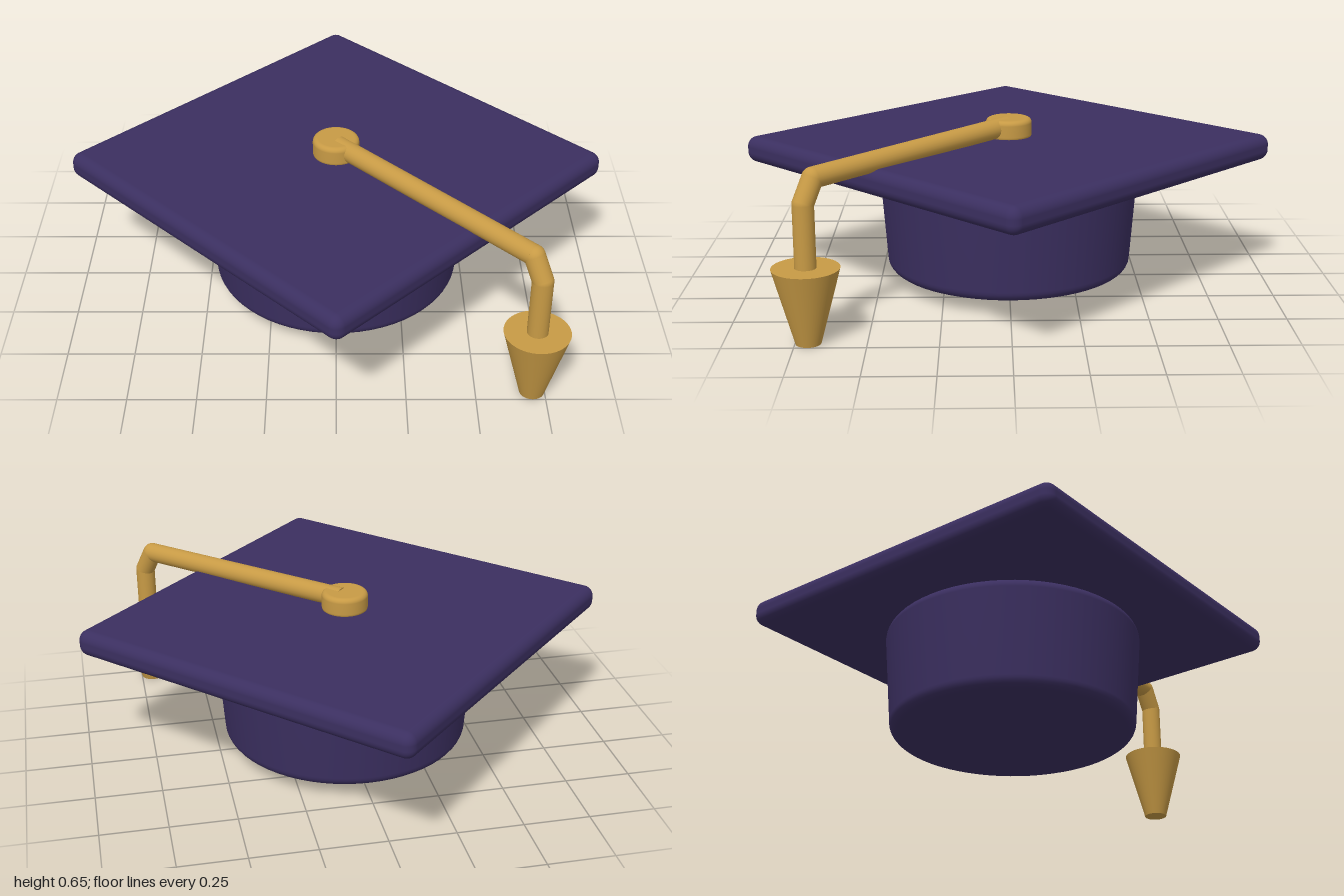
import * as THREE from 'three';
import { RoundedBoxGeometry } from 'three/addons/geometries/RoundedBoxGeometry.js';

const cloth = new THREE.MeshStandardMaterial({ color: 0x3b2f60 });
const gold = new THREE.MeshStandardMaterial({ color: 0xc79a45 });

function part(name, geometry, material, x = 0, y = 0, z = 0) {
  const mesh = new THREE.Mesh(geometry, material);
  mesh.name = name;
  mesh.position.set(x, y, z);
  return mesh;
}

// Solid disc or drum with rounded rims, turned from a half profile
function roundedDrum(bottomRadius, topRadius, y0, y1, bevel) {
  const points = [new THREE.Vector2(0, y0), new THREE.Vector2(bottomRadius - bevel - 0.002, y0)];
  const steps = 6;
  for (const [radius, y, start] of [[bottomRadius, y0 + bevel, -Math.PI / 2], [topRadius, y1 - bevel, 0]]) {
    for (let i = 0; i <= steps; i++) {
      const a = start + (i / steps) * Math.PI / 2;
      points.push(new THREE.Vector2(radius - bevel + bevel * Math.cos(a), y + bevel * Math.sin(a)));
    }
  }
  points.push(new THREE.Vector2(topRadius - bevel - 0.002, y1), new THREE.Vector2(0, y1));
  return new THREE.LatheGeometry(points, 64);
}

// Round rod between two points
function rod(name, a, b, radius) {
  const direction = b.clone().sub(a);
  const mesh = part(name, new THREE.CylinderGeometry(radius, radius, direction.length(), 24), gold);
  mesh.position.copy(a).add(b).multiplyScalar(0.5);
  mesh.quaternion.setFromUnitVectors(new THREE.Vector3(0, 1, 0), direction.normalize());
  return mesh;
}

export function createModel() {
  const model = new THREE.Group();
  model.name = 'graduationCap';

  // Square board, turned so a corner faces the front
  const board = part('board', new RoundedBoxGeometry(1.44, 0.1, 1.44, 5, 0.04), cloth, 0, 0.52, 0);
  board.rotation.y = Math.PI / 4;
  model.add(board);

  // Head band, slightly wider at the top
  model.add(part('headBand', roundedDrum(0.472, 0.497, 0.055, 0.475, 0.04), cloth));

  // Button in the middle of the board
  model.add(part('button', roundedDrum(0.088, 0.088, 0.56, 0.64, 0.018), gold));

  // Cord running over the edge and hanging down
  const cord = new THREE.Group();
  cord.name = 'cord';
  const radius = 0.038;
  const path = [[0.01, 0.608], [0.672, 0.584], [0.704, 0.5], [0.704, 0.26]]
    .map(([d, y]) => new THREE.Vector3(d, y, d));
  for (let i = 0; i < path.length - 1; i++) {
    cord.add(rod('cordSegment', path[i], path[i + 1], radius));
    if (i > 0) cord.add(part('cordBend', new THREE.SphereGeometry(radius, 24, 16), gold, ...path[i].toArray()));
  }
  model.add(cord);

  // Tassel tapering to the bottom
  model.add(part('tassel', new THREE.CylinderGeometry(0.119, 0.045, 0.275, 48), gold, 0.704, 0.1375, 0.704));

  return model;
}
